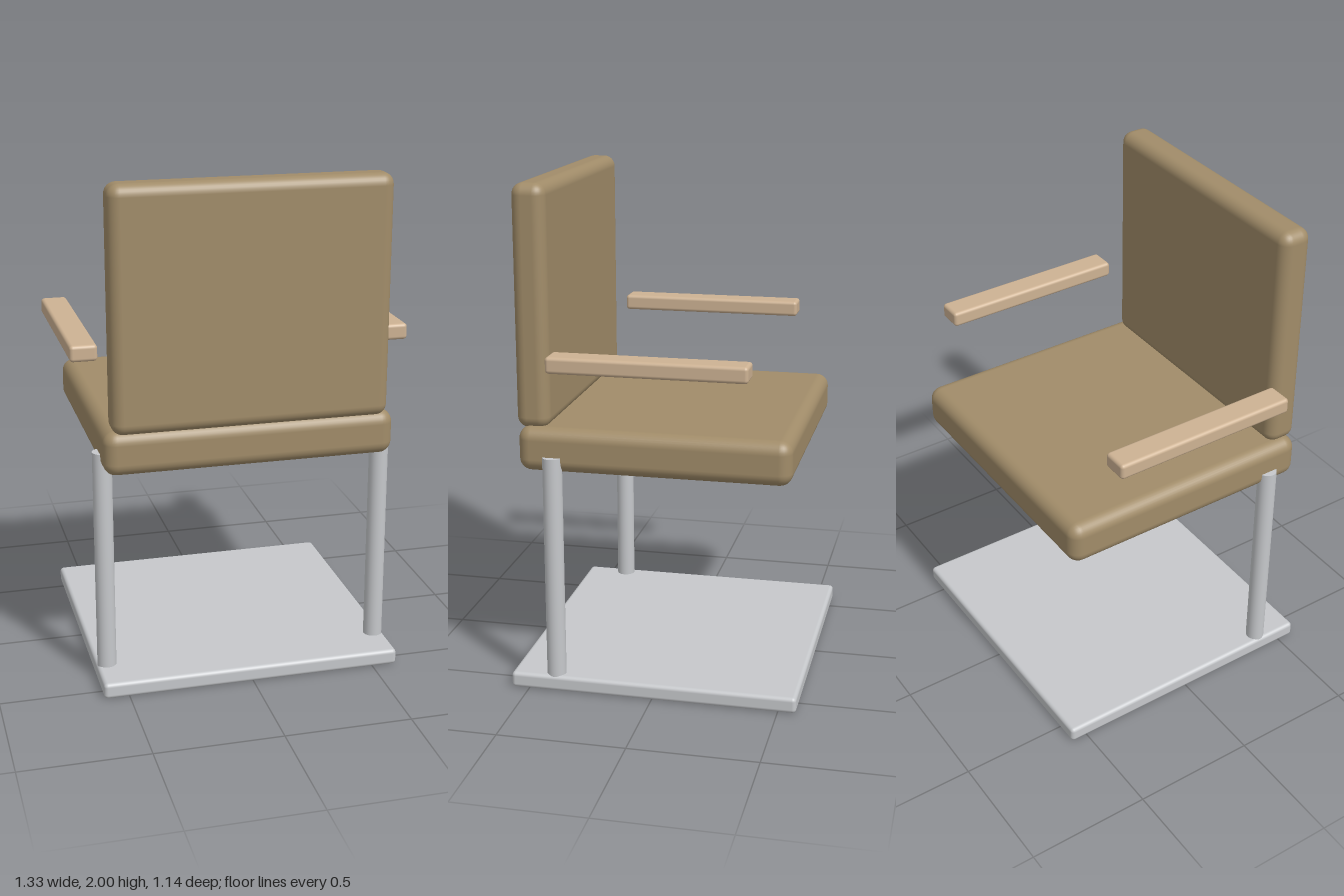
import * as THREE from 'three';
import { RoundedBoxGeometry } from 'three/addons/geometries/RoundedBoxGeometry.js';

const material = (name, color) => {
  const m = new THREE.MeshStandardMaterial({ color });
  m.name = name;
  return m;
};

export function createModel() {
  const upholstery = material('tan upholstery', 0xa18c69);
  const wood = material('pale wood', 0xcdb293);
  const metal = material('grey metal', 0xc6c8cb);

  const group = new THREE.Group();
  group.name = 'armchair';

  const add = (name, geometry, mat, x, y, z) => {
    const mesh = new THREE.Mesh(geometry, mat);
    mesh.name = name;
    mesh.position.set(x, y, z);
    group.add(mesh);
  };

  // Floor plate
  add('basePlate', new RoundedBoxGeometry(1.2, 0.064, 1.143, 3, 0.016), metal, 0, 0.034, 0);

  // Cushions
  add('seat', new RoundedBoxGeometry(1.14, 0.176, 1.064, 4, 0.05), upholstery, 0, 0.985, 0);
  add('backrest', new RoundedBoxGeometry(1.08, 0.94, 0.132, 4, 0.045), upholstery, 0, 1.53, 0.478);

  // Paired posts and armrests
  const postGeometry = new THREE.CylinderGeometry(0.038, 0.038, 0.91, 24);
  const armGeometry = new RoundedBoxGeometry(0.106, 0.064, 0.765, 3, 0.014);
  for (const [side, s] of [['left', 1], ['right', -1]]) {
    add(`${side}Post`, postGeometry, metal, s * 0.558, 0.506, 0.394);
    add(`${side}Armrest`, armGeometry, wood, s * 0.614, 1.347, 0);
  }

  return group;
}
